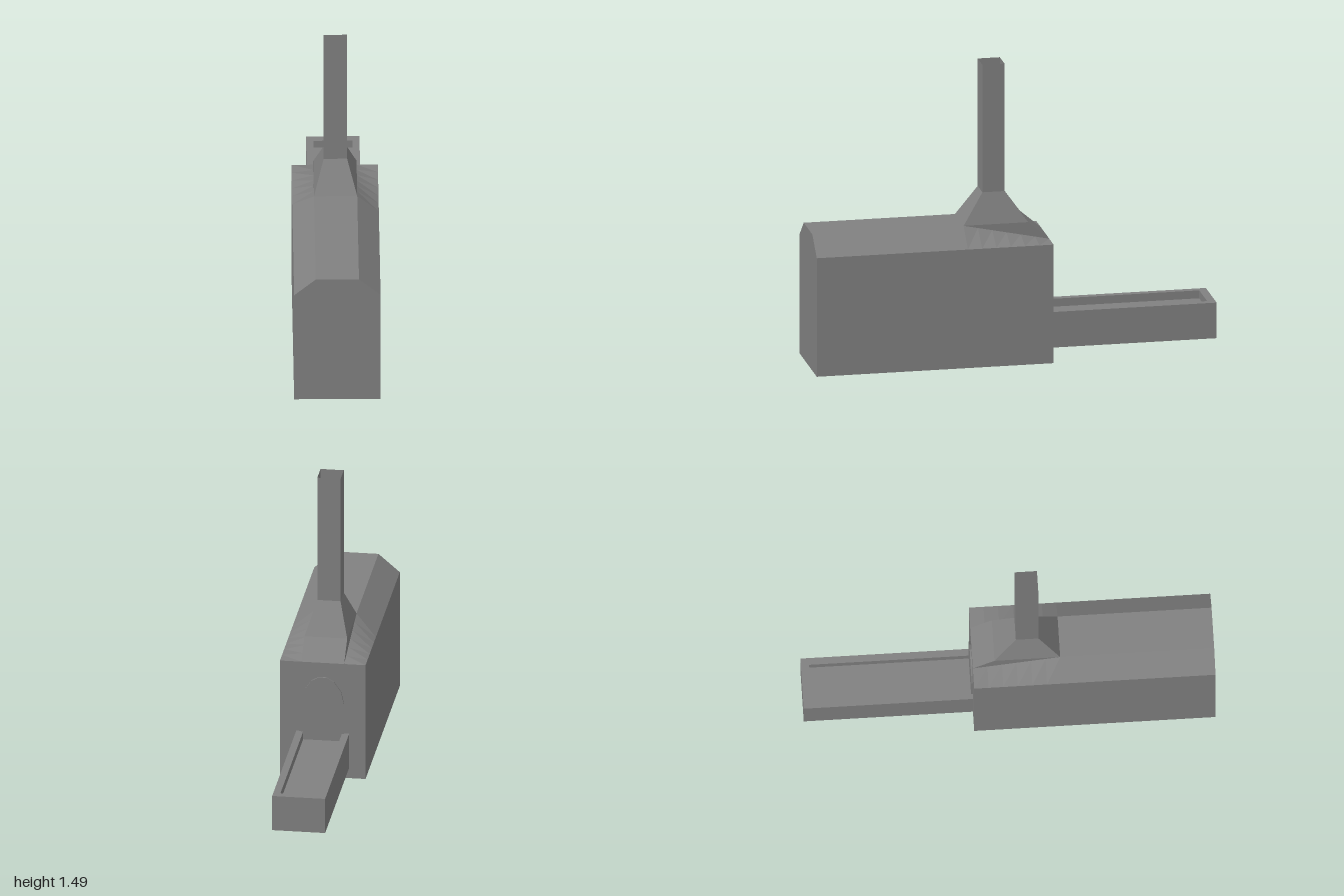
import * as THREE from 'three';

const grey = new THREE.MeshStandardMaterial({ color: 0x808080, side: THREE.DoubleSide, flatShading: true });
grey.name = 'castGrey';

// Flat polygons (corners counter-clockwise from outside), each fanned from its first corner
function faces(name, polygons) {
  const p = [];
  for (const poly of polygons)
    for (let i = 1; i < poly.length - 1; i++) p.push(...poly[0], ...poly[i], ...poly[i + 1]);
  const g = new THREE.BufferGeometry();
  g.setAttribute('position', new THREE.Float32BufferAttribute(p, 3));
  g.computeVertexNormals();
  const mesh = new THREE.Mesh(g, grey);
  mesh.name = name;
  return mesh;
}

function box(name, x0, x1, y0, y1, z0, z1) {
  const mesh = new THREE.Mesh(new THREE.BoxGeometry(x1 - x0, y1 - y0, z1 - z0), grey);
  mesh.position.set((x0 + x1) / 2, (y0 + y1) / 2, (z0 + z1) / 2);
  mesh.name = name;
  return mesh;
}

// Rectangular ring of four corners at one height
const ring = (x, y, z0, z1) => [[-x, y, z1], [x, y, z1], [x, y, z0], [-x, y, z0]];
const band = (a, b) => a.map((c, i) => [c, a[(i + 1) % 4], b[(i + 1) % 4], b[i]]);

const W = 0.21, R = 0.105, EAVE = 0.6, TOP = 0.69;
const BACK = -0.175, HOOD_BACK = -0.07, HOOD_FRONT = 0.25;

export function createModel() {
  const model = new THREE.Group();
  model.name = 'furnace';

  // Furnace body: walls, floor and front gable
  const low = ring(W, 0, BACK, 1), high = ring(W, EAVE, BACK, 1);
  model.add(faces('bodyWalls', [
    ...band(low, high),
    [...low].reverse(),
    [[-W, EAVE, 1], [W, EAVE, 1], [R, TOP, 1], [-R, TOP, 1]],
  ]));

  // Flat ridge, and the sloping strip behind the hood
  model.add(faces('roofRidge', [
    [[-R, TOP, 1], [R, TOP, 1], [R, TOP, HOOD_FRONT], [-R, TOP, HOOD_FRONT]],
    [[-R, TOP, HOOD_BACK], [R, TOP, HOOD_BACK], [R, EAVE, BACK], [-R, EAVE, BACK]],
  ]));

  // Roof shoulders: straight in front, twisting down level towards the back
  for (const s of [1, -1]) {
    const polys = [[[s * W, EAVE, 1], [s * W, EAVE, HOOD_FRONT], [s * R, TOP, HOOD_FRONT], [s * R, TOP, 1]]];
    const steps = 6;
    const at = (i) => {
      const t = i / steps, z = THREE.MathUtils.lerp(HOOD_FRONT, BACK, t);
      return [[s * W, EAVE, z], [s * R, THREE.MathUtils.lerp(TOP, EAVE, t), z]];
    };
    for (let i = 0; i < steps; i++) {
      const [a, b] = at(i), [c, d] = at(i + 1);
      polys.push([a, c, d, b]);
    }
    polys.push([[s * R, TOP, HOOD_FRONT], [s * R, EAVE, BACK], [s * R, TOP, HOOD_BACK]]);
    if (s < 0) polys.forEach((p) => p.reverse());
    model.add(faces(s > 0 ? 'leftRoofShoulder' : 'rightRoofShoulder', polys));
  }

  // Tapered hood and open chimney
  const base = ring(R, TOP, HOOD_BACK, HOOD_FRONT);
  const neck = ring(0.057, 0.84, 0.037, 0.147);
  const mouth = ring(0.057, 1.485, 0.037, 0.147);
  model.add(faces('hood', band(base, neck)));
  model.add(faces('chimney', band(neck, mouth)));

  // Thin arched door on the back wall
  const half = [[0.105, 0.06], [0.105, 0.39], [0.09, 0.455], [0.055, 0.505], [0.02, 0.525]];
  const outline = [...half, ...half.map(([x, y]) => [-x, y]).reverse()];
  const shape = new THREE.Shape(outline.map(([x, y]) => new THREE.Vector2(x, y)));
  const door = new THREE.Mesh(new THREE.ExtrudeGeometry(shape, { depth: 0.008, bevelEnabled: false }), grey);
  door.position.z = BACK - 0.008;
  door.name = 'archedDoor';
  model.add(door);

  // Tray: three walls around a raised floor
  const tray = new THREE.Group();
  tray.name = 'tray';
  for (const s of [1, -1])
    tray.add(box(s > 0 ? 'trayLeftWall' : 'trayRightWall', s > 0 ? 0.095 : -0.13, s > 0 ? 0.13 : -0.095, 0.055, 0.235, -1, BACK));
  tray.add(box('trayEndWall', -0.095, 0.095, 0.055, 0.235, -1, -0.96));
  tray.add(faces('trayFloor', [ring(0.095, 0.195, -0.96, BACK).reverse()]));
  model.add(tray);

  return model;
}
